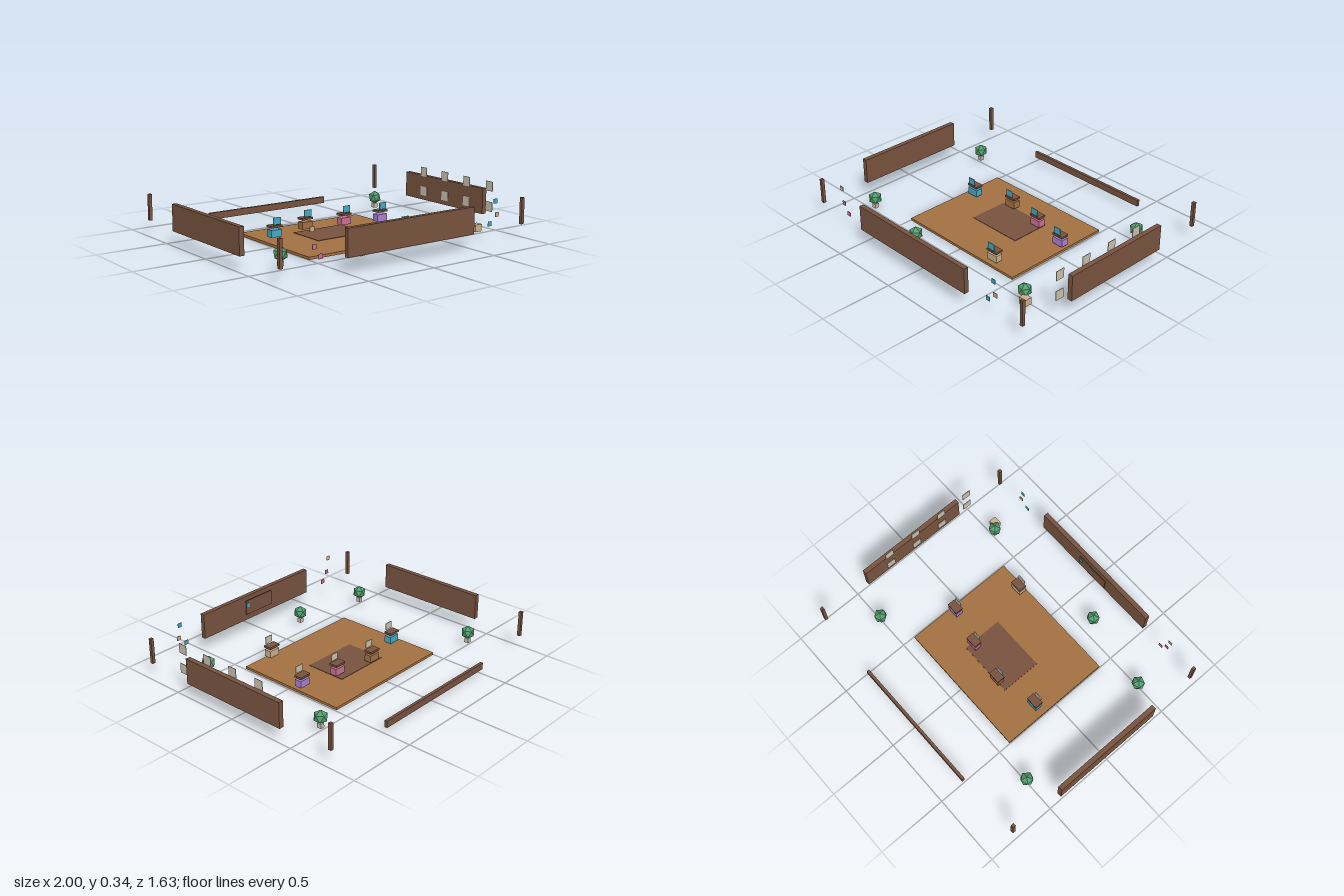
import * as THREE from 'three';

const mat = (name, color) => {
  const m = new THREE.MeshStandardMaterial({ color });
  m.name = name;
  return m;
};

export function createModel() {
  const model = new THREE.Group();
  model.name = 'officeRoom';

  const walnut = mat('walnut', 0x78533f);
  const oak = mat('oak', 0xa27041);
  const stone = mat('stone', 0xc8c0ae);
  const tan = mat('tan', 0xc8ae88);
  const teal = mat('teal', 0x45a8c2);
  const pink = mat('pink', 0xc87092);
  const purple = mat('purple', 0xa87fd0);
  const leaf = mat('leaf', 0x549f6e);
  leaf.flatShading = true;

  // Box given by its centre and size
  const box = (name, material, [x, y, z], [w, h, d], parent = model) => {
    const mesh = new THREE.Mesh(new THREE.BoxGeometry(w, h, d), material);
    mesh.name = name;
    mesh.position.set(x, y, z);
    parent.add(mesh);
    return mesh;
  };

  // Floor and rug
  box('floor', oak, [-0.003, 0.009, -0.005], [0.987, 0.018, 0.81]);
  box('rug', walnut, [-0.002, 0.0195, -0.052], [0.404, 0.003, 0.288]);

  // Walls
  box('frontWall', walnut, [-0.002, 0.19, 0.796], [1.01, 0.18, 0.032]);
  box('backWall', walnut, [-0.003, 0.061, -0.809], [0.987, 0.047, 0.02]);
  for (const s of [-1, 1]) {
    box('sideWall', walnut, [s * 0.983, 0.19, -0.006], [0.034, 0.18, 0.815]);
    // Corner posts
    box('frontPost', walnut, [s * 0.964, 0.19, 0.778], [0.022, 0.18, 0.022]);
    box('backPost', walnut, [s * 0.964, 0.19, -0.79], [0.022, 0.18, 0.022]);
  }

  // Two rows of window panes along the left wall
  for (const z of [0.469, 0.243, 0.017, -0.21])
    for (const y of [0.308, 0.166])
      box('windowPane', stone, [0.962, y, z], [0.004, 0.067, 0.065]);

  // Notice board with a pinned note
  box('noticeBoard', walnut, [-0.003, 0.2, 0.767], [0.25, 0.105, 0.006]);
  box('pinnedNote', teal, [0.105, 0.218, 0.762], [0.03, 0.03, 0.004]);

  // Loose notes beside the front wall
  for (const [x, y, material] of [
    [-0.74, 0.3, tan], [-0.725, 0.194, pink], [-0.68, 0.13, pink],
    [0.72, 0.285, teal], [0.735, 0.194, tan], [0.673, 0.14, teal],
  ]) box('note', material, [x, y, 0.777], [0.031, 0.031, 0.004]);

  // Desks: coloured base, top and a screen facing forward
  for (const [x, z, material] of [
    [-0.41, -0.113, teal], [-0.112, -0.187, oak], [0.178, -0.139, pink],
    [0.447, -0.077, purple], [0.286, 0.357, tan],
  ]) {
    const desk = new THREE.Group();
    desk.name = 'desk';
    desk.position.set(x, 0, z);
    box('deskBase', material, [0, 0.063, 0], [0.083, 0.049, 0.052], desk);
    box('deskTop', walnut, [0, 0.11, 0], [0.087, 0.014, 0.058], desk);
    box('monitorBack', stone, [0, 0.148, 0.028], [0.058, 0.048, 0.004], desk);
    box('monitorScreen', teal, [0, 0.148, 0.031], [0.056, 0.046, 0.002], desk);
    model.add(desk);
  }

  // Storage crate
  box('crate', tan, [0.763, 0.062, 0.556], [0.058, 0.049, 0.05]);

  // Potted plants, with the foliage standing on one of its points
  const foliage = new THREE.IcosahedronGeometry(0.048, 0);
  foliage.rotateX(-Math.atan((1 + Math.sqrt(5)) / 2));
  foliage.rotateY(Math.PI / 2);
  for (const [x, z] of [
    [-0.768, -0.5], [0.735, -0.5], [-0.768, 0.49], [0.718, 0.515], [-0.228, 0.58],
  ]) {
    const plant = new THREE.Group();
    plant.name = 'plant';
    plant.position.set(x, 0, z);
    box('pot', stone, [0, 0.041, 0], [0.031, 0.032, 0.031], plant);
    const leaves = new THREE.Mesh(foliage, leaf);
    leaves.name = 'foliage';
    leaves.position.y = 0.1;
    plant.add(leaves);
    model.add(plant);
  }

  return model;
}
